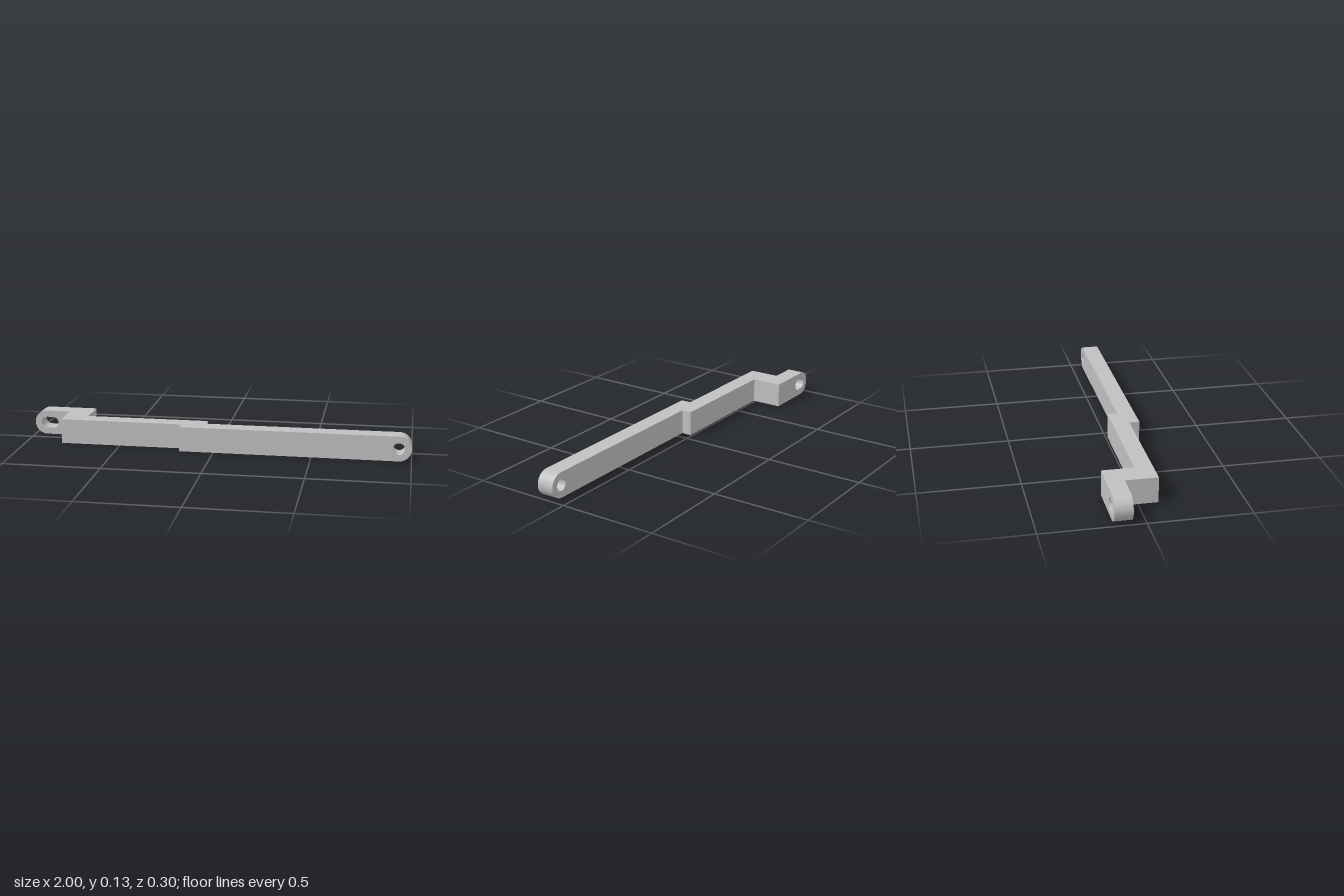
import * as THREE from 'three';
import { toCreasedNormals } from 'three/addons/utils/BufferGeometryUtils.js';

const H = 0.128;        // bar height
const R = H / 2;        // rounded end radius
const T = 0.088;        // bar thickness
const HOLE = 0.03;      // bolt hole radius

// Stadium outline of radius r between x0 and x1, used for slots and holes
function slot(x0, x1, r) {
  const p = new THREE.Path();
  p.absarc(x1, R, r, -Math.PI / 2, Math.PI / 2, false);
  p.absarc(x0, R, r, Math.PI / 2, Math.PI * 1.5, false);
  p.closePath();
  return p;
}

// Flat arm with one rounded end, facing z, with a hole cut through it
function armGeometry(shape, hole, z) {
  shape.holes.push(hole);
  const geo = new THREE.ExtrudeGeometry(shape, { depth: T, bevelEnabled: false, curveSegments: 24 });
  geo.translate(0, 0, z);
  return toCreasedNormals(geo, 0.6);
}

export function createModel() {
  const group = new THREE.Group();
  const grey = new THREE.MeshStandardMaterial({ color: 0xc0c0c0 });
  grey.name = 'plain grey';
  const add = (name, geo) => {
    const mesh = new THREE.Mesh(geo, grey);
    mesh.name = name;
    group.add(mesh);
  };

  // Stepped middle: plan outline as [x, z], extruded upward
  const plan = [
    [-0.81, 0.098], [-0.175, 0.098], [-0.175, 0.15], [-0.05, 0.15], [-0.05, 0.01],
    [-0.687, 0.01], [-0.687, -0.15], [-0.81, -0.15],
  ];
  const outline = new THREE.Shape(plan.map(([x, z]) => new THREE.Vector2(x, -z)));
  const body = new THREE.ExtrudeGeometry(outline, { depth: H, bevelEnabled: false });
  body.rotateX(-Math.PI / 2);
  add('steppedBody', body);

  // Long front arm with a round hole
  const long = new THREE.Shape();
  long.moveTo(-0.05, 0);
  long.lineTo(1 - R, 0);
  long.absarc(1 - R, R, R, -Math.PI / 2, Math.PI / 2, false);
  long.lineTo(-0.05, H);
  long.closePath();
  add('longArm', armGeometry(long, slot(1 - R, 1 - R, HOLE), 0.15 - T));

  // Short rear arm with a slotted hole
  const short = new THREE.Shape();
  short.moveTo(-0.81, 0);
  short.lineTo(-0.81, H);
  short.lineTo(-1 + R, H);
  short.absarc(-1 + R, R, R, Math.PI / 2, Math.PI * 1.5, false);
  short.closePath();
  add('slottedArm', armGeometry(short, slot(-0.936, -0.904, HOLE), -0.15));

  return group;
}
